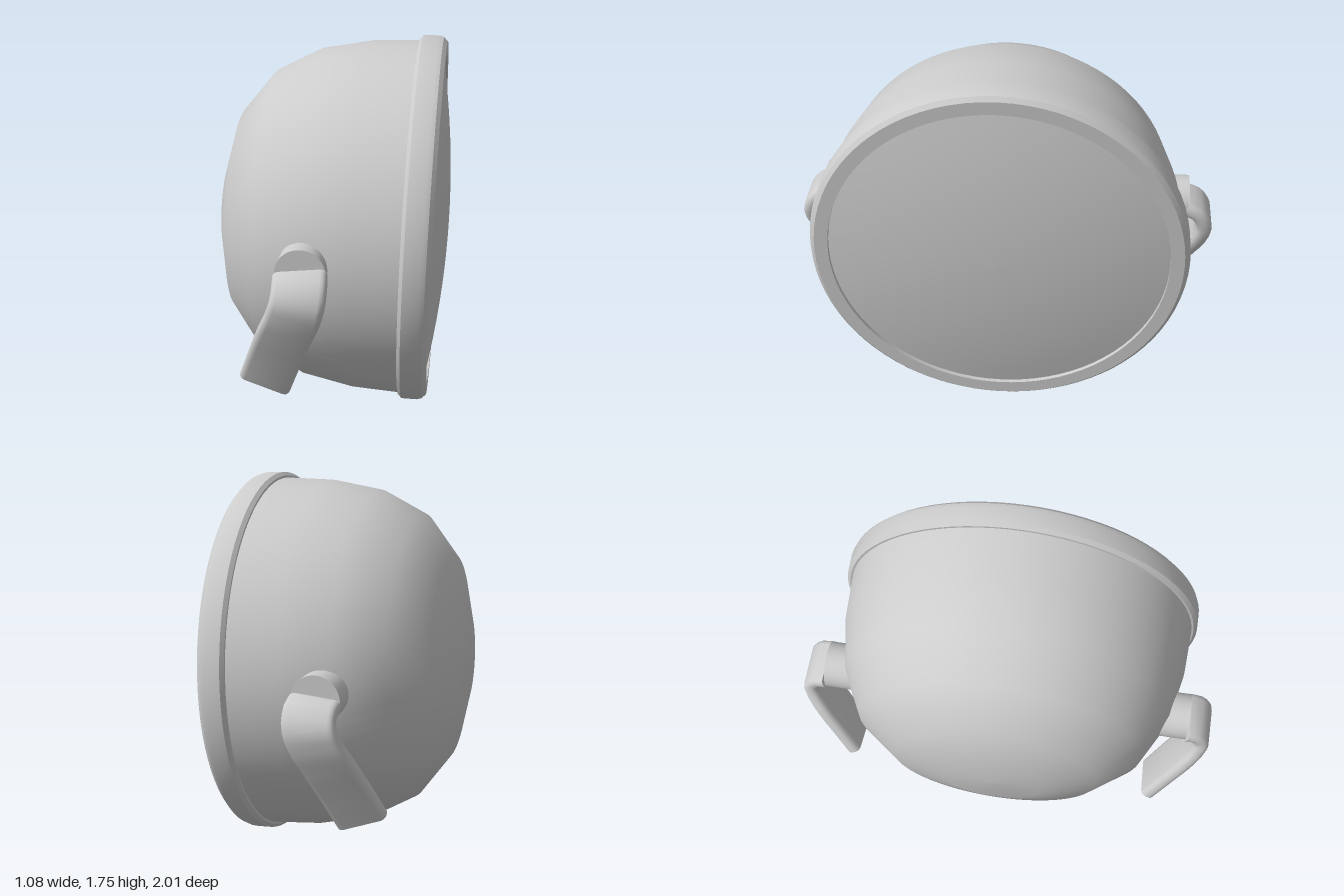
import * as THREE from 'three';
import { toCreasedNormals } from 'three/addons/utils/BufferGeometryUtils.js';

const grey = new THREE.MeshStandardMaterial({ color: 0xcccccc });
grey.name = 'plain grey';

function part(name, geometry) {
  const mesh = new THREE.Mesh(geometry, grey);
  mesh.name = name;
  return mesh;
}

// Turned shape whose axis points along +x; profile is [radius, position along axis]
function turned(profile, segments = 80) {
  const points = profile.map(([r, u]) => new THREE.Vector2(r, u));
  return new THREE.LatheGeometry(points, segments).rotateZ(-Math.PI / 2);
}

// Cross-section of the strap: a rounded rectangle, half width a, half thickness b
function roundedSection(a, b, r) {
  const section = [];
  [[1, 1], [-1, 1], [-1, -1], [1, -1]].forEach(([sx, sy], quarter) => {
    for (let k = 0; k <= 3; k++) {
      const angle = (quarter + k / 3) * Math.PI / 2;
      section.push([sx * (a - r) + r * Math.cos(angle), sy * (b - r) + r * Math.sin(angle)]);
    }
  });
  return section;
}

// Bent strap swept along a curve, mirrored in z by side
function bracketGeometry(side) {
  const curve = new THREE.CatmullRomCurve3([
    [-0.065, 0.88, 0.875], [-0.06, 0.855, 0.93], [-0.065, 0.79, 0.965],
    [-0.09, 0.71, 0.952], [-0.135, 0.61, 0.908], [-0.19, 0.47, 0.834], [-0.24, 0.337, 0.765],
  ].map((p) => new THREE.Vector3(...p)));
  const section = roundedSection(0.117, 0.036, 0.028);
  const n = section.length;
  const steps = 24;
  const positions = [];
  const index = [];
  const triangle = (a, b, c) => (side > 0 ? index.push(a, b, c) : index.push(a, c, b));
  const add = (p) => positions.push(p.x, p.y, p.z * side);

  for (let i = 0; i <= steps; i++) {
    const t = i / steps;
    const center = curve.getPointAt(t);
    const tangent = curve.getTangentAt(t);
    const across = new THREE.Vector3(1, THREE.MathUtils.lerp(0.06, -0.32, t), 0);
    across.addScaledVector(tangent, -across.dot(tangent)).normalize();
    const thick = new THREE.Vector3().crossVectors(tangent, across);
    for (const [a, b] of section) {
      add(center.clone().addScaledVector(across, a).addScaledVector(thick, b));
    }
  }
  for (let i = 0; i < steps; i++) {
    for (let j = 0; j < n; j++) {
      const a = i * n + j;
      const b = i * n + (j + 1) % n;
      triangle(a, b, b + n);
      triangle(a, b + n, a + n);
    }
  }
  // End caps
  const first = positions.length / 3;
  add(curve.getPointAt(0));
  add(curve.getPointAt(1));
  for (let j = 0; j < n; j++) {
    const k = (j + 1) % n;
    triangle(k, j, first);
    triangle(steps * n + j, steps * n + k, first + 1);
  }
  const geometry = new THREE.BufferGeometry();
  geometry.setAttribute('position', new THREE.Float32BufferAttribute(positions, 3));
  geometry.setIndex(index);
  return toCreasedNormals(geometry, 0.9);
}

export function createModel() {
  const model = new THREE.Group();
  model.name = 'lamp';

  // Lamp head, tipped slightly downward
  const head = new THREE.Group();
  head.name = 'lampHead';
  head.position.y = 0.889;
  head.rotation.z = -0.029;
  model.add(head);

  head.add(part('bowl', turned([
    [0, -0.542], [0.235, -0.533], [0.485, -0.466], [0.677, -0.318],
    [0.788, -0.11], [0.835, 0.13], [0.846, 0.36],
  ])));

  head.add(part('rim', toCreasedNormals(turned([
    [0.84, 0.35], [0.856, 0.35], [0.872, 0.366], [0.872, 0.44],
    [0.865, 0.462], [0.846, 0.48], [0.783, 0.48], [0.783, 0.44],
  ]), 0.5)));

  // Shallow domed lens
  const lens = [];
  for (let i = 0; i <= 8; i++) {
    const r = 0.785 * (1 - i / 8);
    lens.push([r, 0.536 - 0.122 * r * r]);
  }
  head.add(part('lens', turned(lens)));

  // Pivots and hanging brackets on both sides
  for (const side of [1, -1]) {
    const label = side > 0 ? 'front' : 'rear';
    const pivot = new THREE.CylinderGeometry(0.11, 0.11, 0.24, 40).rotateX(Math.PI / 2);
    pivot.translate(-0.065, 0.89, side * 0.76);
    model.add(part(label + 'Pivot', pivot));
    model.add(part(label + 'Bracket', bracketGeometry(side)));
  }
  return model;
}
